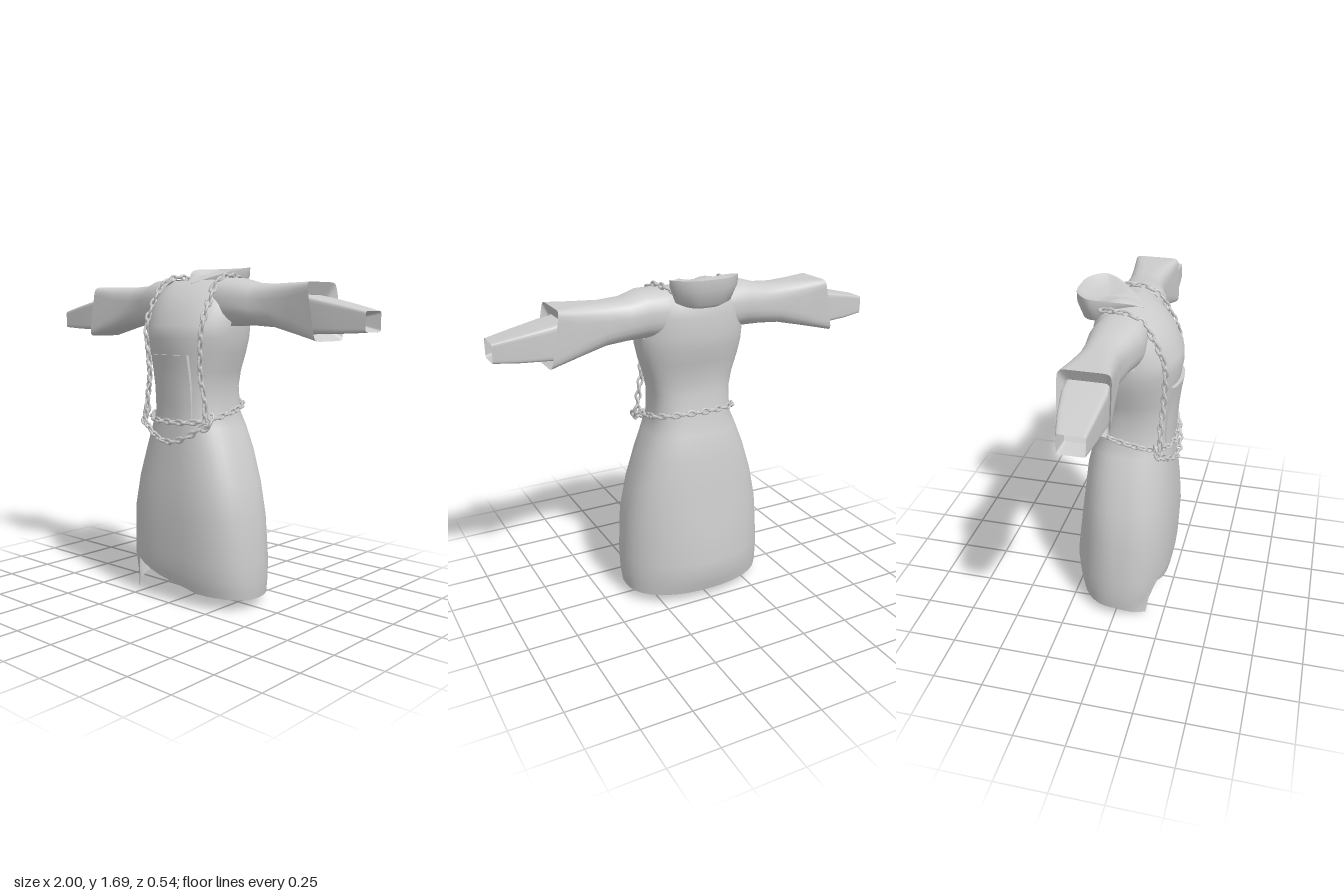
import * as THREE from 'three';
import { mergeGeometries } from 'three/addons/utils/BufferGeometryUtils.js';

const V = (x, y, z) => new THREE.Vector3(x, y, z);
const grey = new THREE.MeshStandardMaterial({ color: 0xcccccc, side: THREE.DoubleSide });
grey.name = 'lightGrey';

// Robe profile: height, half width, front z, back z, front and back roundness exponents
const PROFILE = [
  [0, 0.368, 0.235, 0.225, 2.6, 2.2],
  [0.05, 0.378, 0.21, 0.24, 2.6, 2.2],
  [0.1, 0.384, 0.225, 0.255, 2.6, 2.1],
  [0.2, 0.388, 0.245, 0.277, 2.6, 2],
  [0.45, 0.372, 0.258, 0.245, 2.6, 2.1],
  [0.62, 0.335, 0.25, 0.222, 2.6, 2.3],
  [0.78, 0.285, 0.238, 0.203, 2.5, 2.4],
  [0.9, 0.238, 0.23, 0.175, 2.5, 2.5],
  [0.97, 0.208, 0.226, 0.152, 2.5, 2.5],
  [1.1, 0.207, 0.232, 0.135, 2.4, 2.4],
  [1.18, 0.228, 0.238, 0.13, 2.3, 2.3],
  [1.27, 0.257, 0.25, 0.15, 2.2, 2.2],
  [1.34, 0.275, 0.261, 0.167, 2.1, 2.1],
  [1.4, 0.28, 0.258, 0.173, 2.1, 2.1],
  [1.5, 0.275, 0.21, 0.172, 2.1, 2.1],
  [1.56, 0.255, 0.155, 0.158, 2.1, 2.1],
  [1.6, 0.225, 0.1, 0.14, 2, 2],
  [1.625, 0.185, 0.05, 0.11, 2, 2],
  [1.628, 0.02, -0.02, 0.04, 2, 2],
];

// Piecewise linear lookup in rows keyed by their first entry
function sample(rows, t) {
  let i = 0;
  while (i < rows.length - 2 && t > rows[i + 1][0]) i++;
  const k = THREE.MathUtils.clamp((t - rows[i][0]) / (rows[i + 1][0] - rows[i][0]), 0, 1);
  return rows[i].map((v, j) => v + (rows[i + 1][j] - v) * k);
}

const power = (v, e) => Math.sign(v) * Math.abs(v) ** e;

// Point on the robe at an angle (0 = left side, 90 degrees = front) and height
function robePoint(a, y, grow = 0) {
  const [, w, f, b, nf, nb] = sample(PROFILE, y);
  const front = Math.sin(a) > 0;
  const e = 2 / (front ? nf : nb);
  return V((w + grow) * power(Math.cos(a), e), y, power(Math.sin(a), e) * ((front ? f : b) + grow));
}

// Front surface of the robe at x, y
function robeFront(x, y) {
  const [, w, f, , n] = sample(PROFILE, y);
  return f * Math.max(0, 1 - Math.abs(x / w) ** n) ** (1 / n);
}

// Skin closed rings of points, leaving out the quads that skip() picks
function loft(rings, skip = () => false) {
  const n = rings[0].length, index = [];
  for (let r = 0; r < rings.length - 1; r++) {
    for (let i = 0; i < n; i++) {
      if (skip(r, i)) continue;
      const j = (i + 1) % n, a = r * n + i, b = r * n + j;
      index.push(a, a + n, b, b, a + n, b + n);
    }
  }
  const g = new THREE.BufferGeometry().setFromPoints(rings.flat());
  g.setIndex(index);
  g.computeVertexNormals();
  return g;
}

function add(parent, name, geometry) {
  const m = new THREE.Mesh(geometry, grey);
  m.name = name;
  parent.add(m);
}

// Hem height by angle in degrees: raised at the slit, hanging flap beside it
const HEM = [[0, 0.05], [72, 0.07], [126, 0.18], [144, 0], [180, 0.05], [360, 0.05]];

function makeRobe() {
  const N = 40;
  const rings = PROFILE.map(([y]) => Array.from({ length: N }, (_, i) => {
    const a = (i / N) * Math.PI * 2;
    const hem = sample(HEM, (i / N) * 360)[1];
    return robePoint(a, y < 0.4 ? hem + y * (0.4 - hem) / 0.4 : y);
  }));
  // armholes inside the sleeves
  return loft(rings, (r, i) => PROFILE[r][0] === 1.4 && Math.abs(Math.cos(((i + 0.5) / N) * Math.PI * 2)) > 0.95);
}

// Sleeve from sections: x, bottom, top, back z, front z, squareness, slant
function makeSleeve(side, sections) {
  const N = 24;
  return loft(sections.map(([x, y0, y1, z0, z1, n, slant = 0]) => Array.from({ length: N }, (_, i) => {
    const a = ((i + 0.5) / N) * Math.PI * 2;
    const c = power(Math.cos(a), 2 / n), s = power(Math.sin(a), 2 / n);
    return V(side * (x - slant * s), (y0 + y1) / 2 + s * (y1 - y0) / 2, (z0 + z1) / 2 + c * (z1 - z0) / 2);
  })));
}

const SLEEVE = [
  [0.15, 1.395, 1.632, -0.13, 0.13, 2.4],
  [0.27, 1.4, 1.63, -0.135, 0.125, 2.4],
  [0.36, 1.402, 1.605, -0.127, 0.09, 2.6],
  [0.47, 1.395, 1.6, -0.12, 0.068, 3],
  [0.6, 1.368, 1.602, -0.13, 0.08, 4.5],
  [0.735, 1.335, 1.602, -0.14, 0.095, 10, 0.024],
];
const SLEEVE_LINING = [
  [0.735, 1.335, 1.602, -0.14, 0.095, 10, 0.024],
  [0.7, 1.365, 1.545, -0.118, 0.08, 10, 0.015],
];
const CUFF = [
  [0.66, 1.365, 1.545, -0.115, 0.075, 10],
  [0.74, 1.37, 1.53, -0.115, 0.085, 10],
  [0.88, 1.373, 1.5, -0.09, 0.075, 10],
  [1, 1.38, 1.472, -0.06, 0.065, 10],
];
const CUFF_LINING = [
  [1, 1.38, 1.472, -0.06, 0.065, 10],
  [0.93, 1.4, 1.452, -0.046, 0.054, 10],
];

// Folded hood: an outer shell rising to a teardrop rim, with a shallow bowl inside
function makeHood() {
  const half = [V(0.08, 1.645, 0), V(0.15, 1.676, -0.09), V(0.175, 1.69, -0.165), V(0.105, 1.692, -0.23)];
  const mirrored = half.map((p) => V(-p.x, p.y, p.z)).reverse();
  const curve = new THREE.CatmullRomCurve3([V(0, 1.607, 0.09), ...half, V(0, 1.692, -0.243), ...mirrored], true);
  const rim = Array.from({ length: 36 }, (_, i) => curve.getPoint(i / 36));
  const ring = (k, yOf) => rim.map((p) => V(p.x * k, yOf(p), -0.1 + (p.z + 0.1) * k));
  const back = (p) => THREE.MathUtils.clamp((0.09 - p.z) / 0.33, 0, 1);
  const outer = [
    ring(0.62, (p) => 1.6 - 0.05 * back(p)),
    ring(0.82, (p) => 1.6 - 0.03 * back(p)),
    ring(0.99, (p) => p.y - 0.05 * back(p)),
    rim,
  ];
  const inner = [
    rim,
    ring(0.8, (p) => Math.min(p.y + 0.02, 1.665)),
    ring(0.5, (p) => Math.min(p.y + 0.04, 1.652)),
    ring(0.02, () => 1.647),
  ];
  return [loft(outer), loft(inner)];
}

// Chest panel: a thin box bent over the front of the robe
function makePanel() {
  const g = new THREE.BoxGeometry(0.24, 0.31, 1, 10, 8, 1).translate(0, 1.105, 0);
  const p = g.attributes.position;
  for (let i = 0; i < p.count; i++) {
    const x = p.getX(i), y = p.getY(i);
    const out = 0.006 + 0.012 * THREE.MathUtils.clamp((y - 0.95) / 0.31, 0, 1);
    p.setZ(i, robeFront(x, y) + (p.getZ(i) > 0 ? out : -0.01));
  }
  g.computeVertexNormals();
  return g;
}

// Chain: oval links along a curve, every second one turned a quarter
function makeChain(points, closed = false) {
  const curve = new THREE.CatmullRomCurve3(points, closed);
  const count = Math.max(2, Math.round(curve.getLength() / 0.038));
  const link = new THREE.TorusGeometry(0.0122, 0.0066, 5, 10).scale(1.6, 1, 1);
  const links = [];
  for (let i = 0; i < count; i++) {
    const u = (i + 0.5) / count;
    const q = new THREE.Quaternion().setFromUnitVectors(V(1, 0, 0), curve.getTangentAt(u));
    const g = link.clone().rotateX((i % 2) * Math.PI / 2 + 0.2).applyQuaternion(q);
    const p = curve.getPointAt(u);
    links.push(g.translate(p.x, p.y, p.z));
  }
  return mergeGeometries(links);
}

export function createModel() {
  const model = new THREE.Group();
  model.name = 'hoodedRobe';

  add(model, 'robeBody', makeRobe());
  add(model, 'chestPanel', makePanel());
  const [outer, inner] = makeHood();
  add(model, 'hoodShell', outer);
  add(model, 'hoodBowl', inner);

  // Chain belt, rising toward the back
  const belt = Array.from({ length: 32 }, (_, i) => {
    const a = (i / 32) * Math.PI * 2;
    const z = robePoint(a, 0.95).z;
    return robePoint(a, 0.935 + (0.2 - z) * 0.24, 0.012);
  });
  add(model, 'beltChain', makeChain(belt, true));

  // Second chain sagging below the belt at the front
  const droop = [-0.215, -0.16, -0.08, 0, 0.08, 0.16, 0.215].map((x) => {
    const y = 0.83 + 0.1 * Math.abs(x / 0.215) ** 1.8;
    return V(x, y, Math.max(robeFront(x, y) + 0.015, 0.25 - x * x));
  });
  add(model, 'hangingChain', makeChain(droop));

  for (const side of [1, -1]) {
    const name = side > 0 ? 'left' : 'right';
    add(model, name + 'Sleeve', makeSleeve(side, SLEEVE));
    add(model, name + 'SleeveLining', makeSleeve(side, SLEEVE_LINING));
    add(model, name + 'Cuff', makeSleeve(side, CUFF));
    add(model, name + 'CuffLining', makeSleeve(side, CUFF_LINING));

    // Chain over the shoulder and down the chest
    const path = [
      [0.13, 1.625, -0.135], [0.165, 1.64, -0.085], [0.177, 1.643, 0], [0.181, 1.612, 0.088],
      [0.187, 1.52, 0.155], [0.188, 1.4, 0.193], [0.178, 1.27, 0.207], [0.175, 1.15, 0.2],
      [0.195, 1.05, 0.194], [0.203, 0.93, 0.2],
    ].map(([x, y, z]) => V(side * x, y, y < 1.55 ? Math.max(z, robeFront(x, y) + 0.01) : z));
    add(model, name + 'ShoulderChain', makeChain(path));

    // Loose knot where the chains meet
    const knot = [V(side * 0.2, 0.9, 0.215), V(side * 0.23, 0.935, 0.19), V(side * 0.215, 0.98, 0.17)];
    add(model, name + 'ChainKnot', makeChain(knot));
  }
  return model;
}
